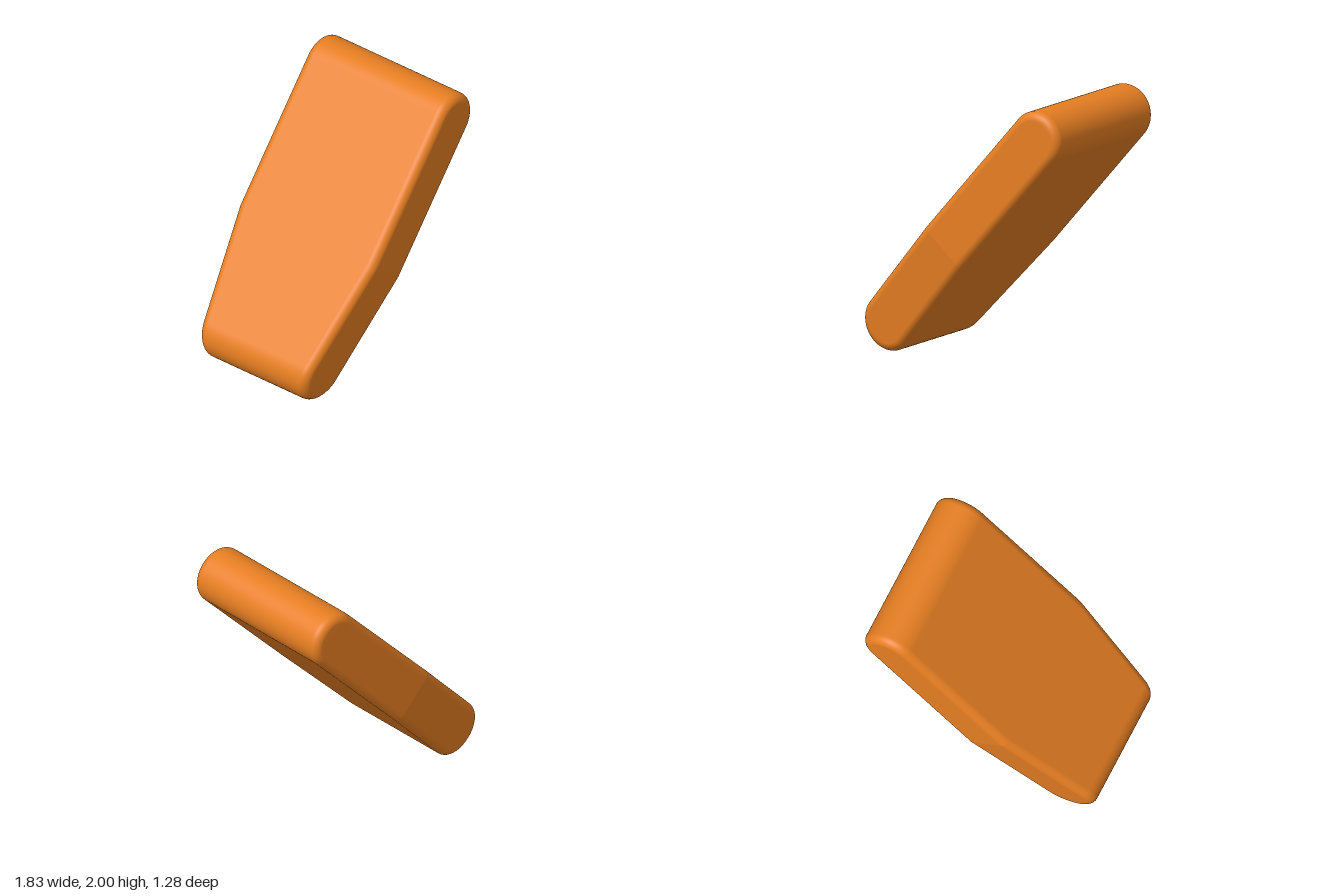
import * as THREE from 'three';

const R = 0.217, BEVEL = 0.065;         // end radius, edge rounding
const END = { x: 0.70, y: 0.783 };      // upper end centre, relative to the middle
const HALF = Math.hypot(END.x, END.y);
const KINK = -0.164;                    // where the taper starts along the axis
const ARC = 24, ROUND = 12;             // segments per quarter turn

// Half width across z at a point along the axis
const halfWidth = t => 0.64 - 0.139 * Math.max(0, KINK - t);

// Stadium outline, counter-clockwise from the tip of the upper end
function outline(r) {
  const pts = [];
  const arc = (cx, from, to) => {
    for (let k = from; k <= to; k++) {
      const a = (k / ARC) * Math.PI / 2;
      pts.push([cx + r * Math.cos(a), r * Math.sin(a)]);
    }
  };
  arc(HALF, 0, ARC);
  pts.push([KINK + 0.002, r], [KINK - 0.002, r]);
  arc(-HALF, ARC, 3 * ARC);
  pts.push([KINK - 0.002, -r], [KINK + 0.002, -r]);
  arc(HALF, 3 * ARC, 4 * ARC - 1);
  return pts;
}

function slabGeometry() {
  const positions = [], index = [];
  const n = outline(R).length, rings = 2 * (ROUND + 1);

  // Rings from the front cap, over the rounded edges, to the back cap
  for (let j = 0; j < rings; j++) {
    const side = j <= ROUND ? 1 : -1;
    const a = ((side > 0 ? j : rings - 1 - j) / ROUND) * Math.PI / 2;
    for (const [x, y] of outline(R - BEVEL + BEVEL * Math.sin(a))) {
      positions.push(x, y, side * (halfWidth(x) - BEVEL + BEVEL * Math.cos(a)));
    }
  }
  for (let j = 0; j < rings - 1; j++) {
    for (let i = 0; i < n; i++) {
      const a = j * n + i, b = j * n + (i + 1) % n;
      index.push(a, a + n, b + n, a, b + n, b);
    }
  }

  // Caps: strips between each outline point and its mirror partner
  const back = (rings - 1) * n;
  const tri = (a, b, c) => {
    if (a === b || b === c || a === c) return;
    index.push(a, b, c, back + a, back + c, back + b);
  };
  for (let i = 0; i < n / 2; i++) {
    const p = (n - i) % n, q = n - i - 1;
    tri(i, i + 1, q);
    tri(i, q, p);
  }

  const geometry = new THREE.BufferGeometry();
  geometry.setAttribute('position', new THREE.Float32BufferAttribute(positions, 3));
  geometry.setIndex(index);
  geometry.computeVertexNormals();
  return geometry;
}

export function createModel() {
  const group = new THREE.Group();
  group.name = 'taperedSlab';
  const slab = new THREE.Mesh(slabGeometry(), new THREE.MeshStandardMaterial({ color: 0xe67e22 }));
  slab.name = 'slab';
  slab.rotation.z = Math.atan2(END.y, END.x);
  slab.position.y = 1;
  group.add(slab);
  return group;
}
